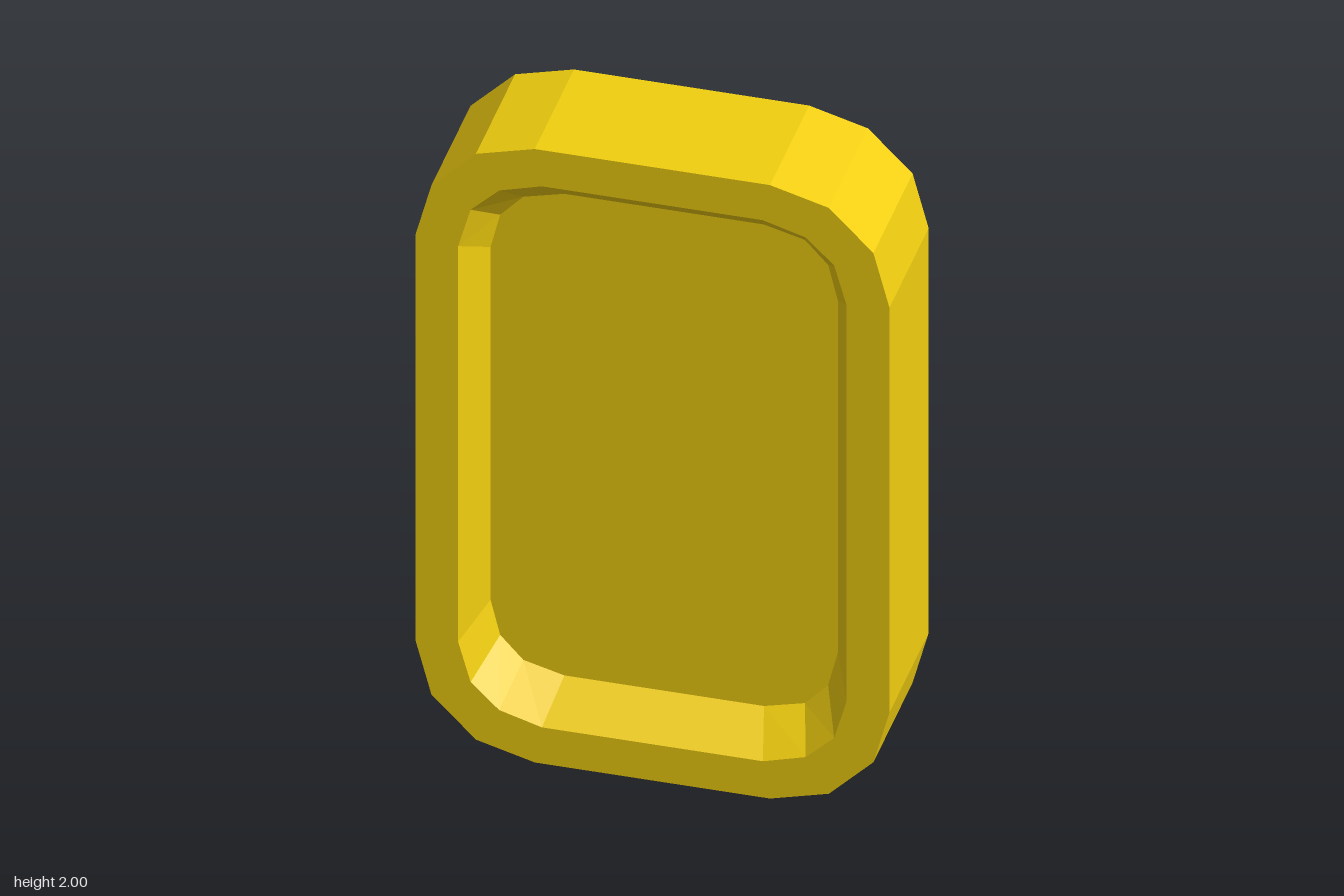
import * as THREE from 'three';

// Corner points of one quadrant, from the right side up to the top edge
const OUTER = [[0.665, 0.66], [0.62, 0.83], [0.495, 0.955], [0.33, 1]];
const OPENING = [[0.545, 0.645], [0.51, 0.77], [0.43, 0.847], [0.31, 0.882]];
const PANEL = [[0.487, 0.575], [0.46, 0.685], [0.395, 0.755], [0.28, 0.785]];

// Mirrors a quadrant into a full counter-clockwise outline
function outline(q) {
  const r = [...q].reverse();
  return [
    ...q,
    ...r.map(([x, y]) => [-x, y]),
    ...q.map(([x, y]) => [-x, -y]),
    ...r.map(([x, y]) => [x, -y]),
  ];
}

// Joins successive outlines, each at its own depth, into a faceted skin
function loft(sections) {
  const n = 16, pos = [], index = [];
  for (const [q, z] of sections) for (const [x, y] of outline(q)) pos.push(x, y, z);
  for (let s = 0; s < sections.length - 1; s++) {
    for (let i = 0; i < n; i++) {
      const j = (i + 1) % n;
      const a = s * n + i, b = s * n + j, c = a + n, d = b + n;
      index.push(a, c, d, a, d, b);
    }
  }
  const indexed = new THREE.BufferGeometry();
  indexed.setAttribute('position', new THREE.Float32BufferAttribute(pos, 3));
  indexed.setIndex(index);
  const geo = indexed.toNonIndexed();
  geo.computeVertexNormals();
  return geo;
}

export function createModel() {
  const group = new THREE.Group();
  group.name = 'recessedTablet';
  const material = new THREE.MeshStandardMaterial({ color: 0xf2cf10, flatShading: true });
  const half = 0.2, floor = 0.08;

  // Rim with sloped recess walls on both faces
  const frame = new THREE.Mesh(loft([
    [PANEL, floor], [OPENING, half], [OUTER, half],
    [OUTER, -half], [OPENING, -half], [PANEL, -floor],
  ]), material);
  frame.name = 'frame';
  frame.position.y = 1;
  group.add(frame);

  // Flat sunken panels, front and back
  const shape = new THREE.Shape(outline(PANEL).map(([x, y]) => new THREE.Vector2(x, y)));
  for (const side of [1, -1]) {
    const panel = new THREE.Mesh(new THREE.ShapeGeometry(shape), material);
    panel.name = side > 0 ? 'frontPanel' : 'backPanel';
    panel.position.set(0, 1, side * floor);
    if (side < 0) panel.rotation.y = Math.PI;
    group.add(panel);
  }
  return group;
}
